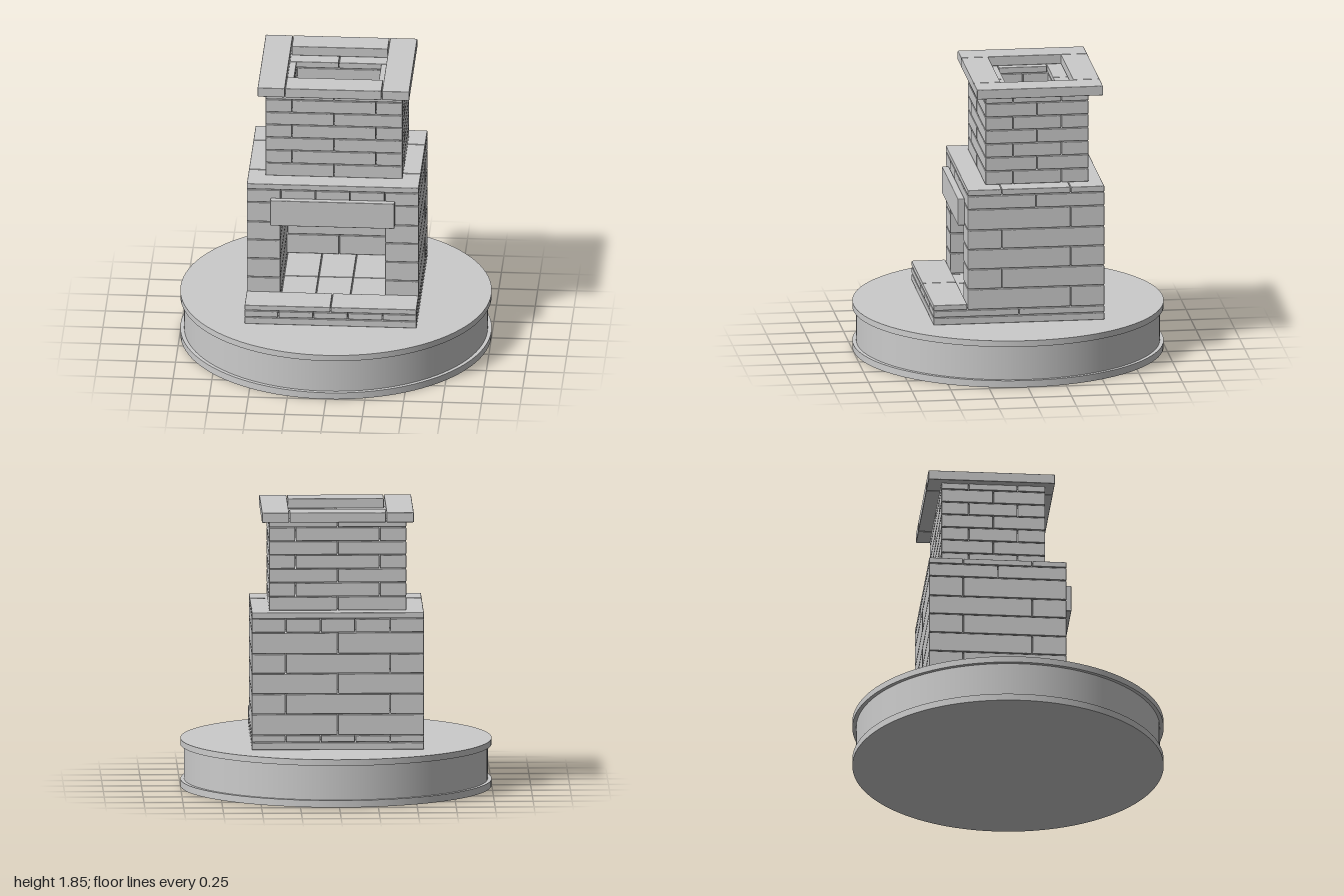
import * as THREE from 'three';
import { RoundedBoxGeometry } from 'three/addons/geometries/RoundedBoxGeometry.js';

const GAP = 0.004;
const material = new THREE.MeshStandardMaterial({ color: 0xcccccc });

// One slightly eased brick filling the given ranges, less a hairline joint
function brick(parent, name, [x0, x1], [y0, y1], [z0, z1]) {
  const geometry = new RoundedBoxGeometry(x1 - x0 - GAP, y1 - y0 - GAP, z1 - z0 - GAP, 1, 0.005);
  const mesh = new THREE.Mesh(geometry, material);
  mesh.name = name;
  mesh.position.set((x0 + x1) / 2, (y0 + y1) / 2, (z0 + z1) / 2);
  parent.add(mesh);
}

// Bricks laid along x or z, with joints at the listed cuts
function alongX(parent, name, cuts, y, z) {
  for (let i = 1; i < cuts.length; i++) brick(parent, name, [cuts[i - 1], cuts[i]], y, z);
}
function alongZ(parent, name, x, y, cuts) {
  for (let i = 1; i < cuts.length; i++) brick(parent, name, x, y, [cuts[i - 1], cuts[i]]);
}

// Mirrored pair of side walls between half-widths a and b
function sides(parent, name, a, b, y, cuts) {
  alongZ(parent, name, [a, b], y, cuts);
  alongZ(parent, name, [-b, -a], y, cuts);
}

function group(parent, name) {
  const g = new THREE.Group();
  g.name = name;
  parent.add(g);
  return g;
}

export function createModel() {
  const model = new THREE.Group();
  model.name = 'outdoorFireplace';

  // Round plinth with a projecting rim above and below
  const plinth = group(model, 'roundPlinth');
  for (const [name, r, y0, y1] of [
    ['lowerRim', 1, 0, 0.045], ['drum', 0.975, 0.045, 0.27], ['upperRim', 1, 0.27, 0.31],
  ]) {
    const mesh = new THREE.Mesh(new THREE.CylinderGeometry(r, r, y1 - y0, 96), material);
    mesh.name = name;
    mesh.position.y = (y0 + y1) / 2;
    plinth.add(mesh);
  }

  // Hearth: foundation slab, floor bricks and two front slabs
  const W = 0.555, I = 0.335;
  const hearth = group(model, 'hearth');
  brick(hearth, 'foundation', [-W, W], [0.308, 0.358], [-W, W]);
  for (const z of [[-W, 0], [0, W]]) {
    alongX(hearth, 'floorBrick', [-W, -I, -0.111, 0.111, I, W], [0.358, 0.404], z);
  }
  alongX(hearth, 'frontSlab', [-W, 0, W], [0.404, 0.444], [0.333, W]);

  // Firebox: alternating courses, open at the front
  const firebox = group(model, 'firebox');
  const F = 0.333, B = -W, bi = -0.335, fi = 0.11;
  const levels = [0.404, 0.54, 0.672, 0.804, 0.932, 1.07];
  for (let i = 0; i < 5; i++) {
    const y = [levels[i], levels[i + 1]];
    if (i % 2 === 0) {
      sides(firebox, 'sideBrick', I, W, y, [bi, F]);
      alongX(firebox, 'backBrick', [-W, 0, W], y, [B, bi]);
    } else {
      sides(firebox, 'sideBrick', I, W, y, [B, fi, F]);
      alongX(firebox, 'backBrick', [-I, I], y, [B, bi]);
    }
  }
  brick(firebox, 'lintel', [-I, I], [0.932, 1.07], [fi, F]);

  // Small-brick course and thin top course
  const small = [1.07, 1.16], top = [1.16, 1.202];
  sides(firebox, 'sideBrick', I, W, small, [B, -0.11, F]);
  for (const z of [[B, bi], [fi, F]]) {
    alongX(firebox, 'smallBrick', [-I, -0.111, 0.111, I], small, z);
    brick(firebox, 'topBrick', [-W, W], top, z);
  }
  sides(firebox, 'topSideBrick', I, W, top, [bi, fi]);

  // Mantel board across the front
  brick(model, 'mantel', [-0.402, 0.402], [0.924, 1.106], [0.33, 0.378]);

  // Hollow chimney of alternating courses
  const chimney = group(model, 'chimney');
  const C = 0.443, H = 0.27, c0 = -0.467, c1 = -0.29, c2 = 0.025, c3 = 0.205;
  const courses = [1.2, 1.291, 1.382, 1.472, 1.562, 1.65, 1.74, 1.785];
  for (let i = 0; i < 7; i++) {
    const y = [courses[i], courses[i + 1]];
    const even = i % 2 === 0;
    sides(chimney, 'sideBrick', H, C, y, even ? [c1, c2] : [c0, -0.131, c3]);
    for (const z of [[c0, c1], [c2, c3]]) {
      alongX(chimney, 'crossBrick', even ? [-C, 0, C] : [-H, H], y, z);
    }
  }

  // Overhanging cap frame
  const cap = group(model, 'chimneyCap');
  sides(cap, 'capSide', 0.311, 0.49, [1.782, 1.85], [-W, 0.265]);
  for (const z of [[-W, -0.381], [0.086, 0.265]]) {
    brick(cap, 'capCross', [-0.311, 0.311], [1.782, 1.85], z);
  }
  return model;
}
